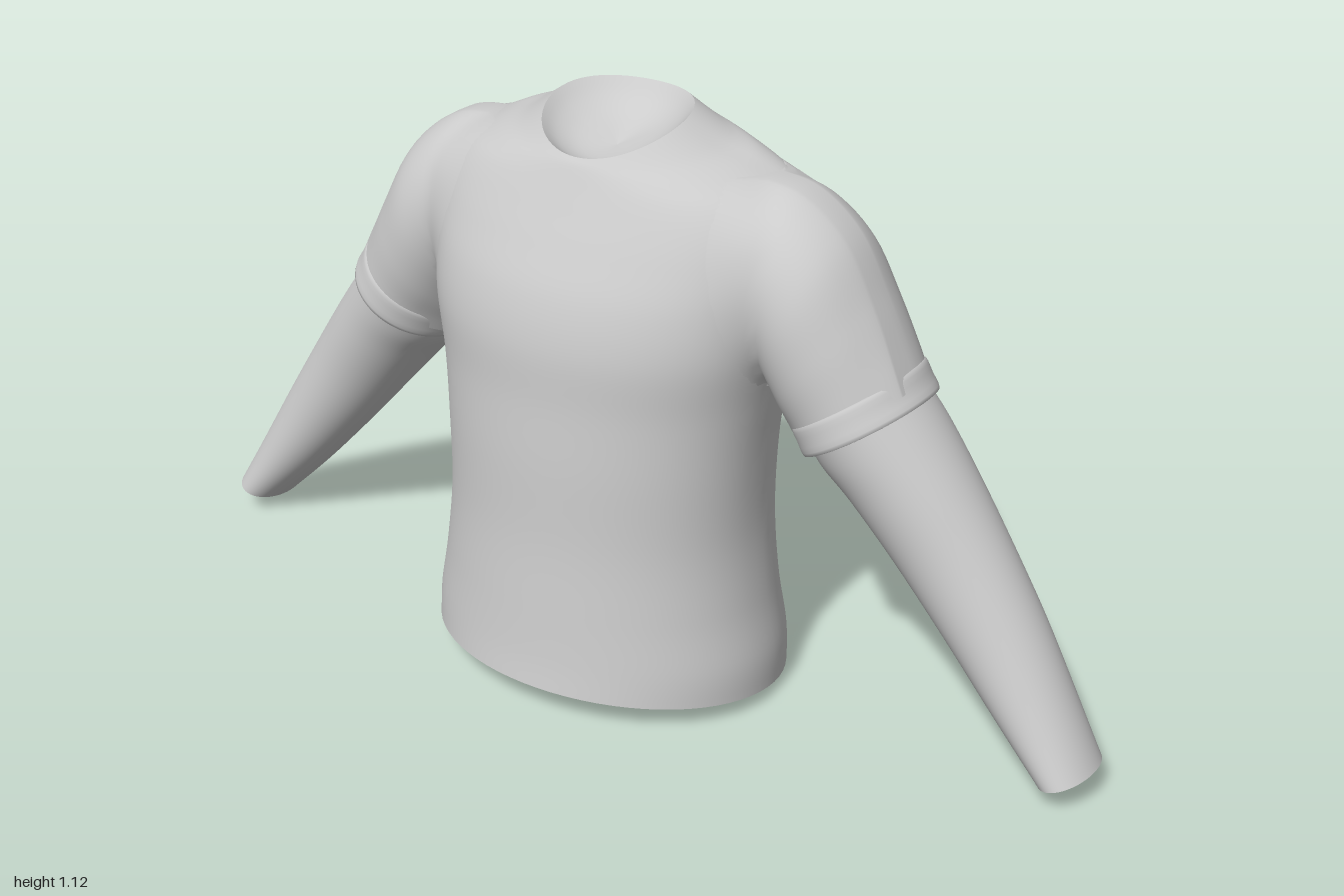
import * as THREE from 'three';

const material = new THREE.MeshStandardMaterial({ color: 0xcccccc, side: THREE.DoubleSide });

// Smooth interpolation through key cross-sections (every column of a row).
function sampleRows(rows, u) {
  const n = rows.length - 1;
  const i = Math.min(Math.floor(u * n), n - 1), f = u * n - i;
  const at = (k) => rows[Math.max(0, Math.min(n, k))];
  return rows[i].map((b, c) => {
    const a = at(i - 1)[c], d = at(i + 1)[c], e = at(i + 2)[c];
    return b + 0.5 * f * (d - a + f * (2 * a - 5 * b + 4 * d - e + f * (3 * (b - d) + e - a)));
  });
}

// Lofts closed rings; place(row, cos, sin) gives the point on a ring.
function loft(name, rows, place, flip, steps = 6, sides = 72) {
  const pos = [], idx = [], count = (rows.length - 1) * steps;
  for (let j = 0; j <= count; j++) {
    const row = sampleRows(rows, j / count);
    for (let i = 0; i < sides; i++) {
      const t = (i / sides) * Math.PI * 2;
      pos.push(...place(row, Math.cos(t), Math.sin(t)));
      if (j === count) continue;
      const a = j * sides + i, b = j * sides + (i + 1) % sides;
      const c = a + sides, d = b + sides;
      if (flip) idx.push(a, b, c, b, d, c);
      else idx.push(a, c, b, b, c, d);
    }
  }
  const geo = new THREE.BufferGeometry();
  geo.setAttribute('position', new THREE.Float32BufferAttribute(pos, 3));
  geo.setIndex(idx);
  geo.computeVertexNormals();
  const mesh = new THREE.Mesh(geo, material);
  mesh.name = name;
  return mesh;
}

// Dished lining that closes an opening; inward is the sink vector at its middle.
function lining(name, rim, place, inward, flip) {
  const mid = [0, 1, 2].map((k) => (place(rim, 0, 1)[k] + place(rim, 0, -1)[k]) / 2);
  const rows = [[1, 0], [0.8, 0.45], [0.5, 0.8], [0.001, 1]];
  const dish = ([scale, sink], c, s) => place(rim, c, s)
    .map((v, k) => mid[k] + (v - mid[k]) * scale + inward[k] * sink);
  return loft(name, rows, dish, flip, 4);
}

// Torso rings: yFront, ySide, yBack, half width, zFront, zSide, zBack, squareness
const torsoRows = [
  [0.06, 0.03, 0.003, 0.36, 0.292, 0, -0.29, 1],
  [0.12, 0.1, 0.08, 0.357, 0.283, 0, -0.287, 0.98],
  [0.22, 0.21, 0.2, 0.337, 0.273, 0, -0.267, 0.95],
  [0.35, 0.35, 0.35, 0.322, 0.262, 0, -0.26, 0.92],
  [0.5, 0.5, 0.5, 0.325, 0.257, 0, -0.26, 0.9],
  [0.62, 0.62, 0.62, 0.337, 0.25, -0.01, -0.262, 0.87],
  [0.73, 0.73, 0.73, 0.355, 0.246, -0.02, -0.265, 0.82],
  [0.82, 0.82, 0.82, 0.367, 0.226, -0.04, -0.26, 0.8],
  [0.9, 0.9, 0.9, 0.375, 0.19, -0.055, -0.243, 0.8],
  [0.96, 0.96, 0.975, 0.37, 0.16, -0.065, -0.215, 0.82],
  [1.0, 1.008, 1.035, 0.335, 0.14, -0.068, -0.187, 0.85],
  [1.025, 1.042, 1.077, 0.27, 0.128, -0.06, -0.166, 0.9],
  [1.04, 1.067, 1.1, 0.205, 0.12, -0.045, -0.152, 0.95],
  [1.05, 1.107, 1.12, 0.14, 0.112, -0.02, -0.142, 1],
];

function torsoPoint([yF, yS, yB, w, zF, zS, zB, p], c, s) {
  const z = zS + Math.sign(s) * Math.abs(s) ** p * (s > 0 ? zF - zS : zS - zB);
  const y = yS + s * (yF - yB) / 2 + s * s * ((yF + yB) / 2 - yS);
  return [w * c, y, z];
}

// Torso depth at a given x, y on the front (dir 1) or back (dir -1).
function torsoDepth(x, y, dir) {
  let lo = 0, hi = 1, point;
  for (let k = 0; k < 24; k++) {
    const u = (lo + hi) / 2, row = sampleRows(torsoRows, u);
    const c = Math.min(1, x / row[3]);
    point = torsoPoint(row, c, dir * Math.sqrt(1 - c * c));
    if (point[1] < y) lo = u;
    else hi = u;
  }
  return point[2];
}

// Sleeve rings: outer x, outer y, inner x, inner y, zFront, zBack
const upperRows = [
  [0.19, 1.04, 0.22, 0.74, 0.04, -0.16],
  [0.29, 1.032, 0.285, 0.71, 0.075, -0.195],
  [0.38, 1.016, 0.327, 0.683, 0.09, -0.21],
  [0.467, 0.952, 0.349, 0.65, 0.097, -0.213],
  [0.53, 0.848, 0.367, 0.617, 0.092, -0.211],
  [0.577, 0.757, 0.385, 0.59, 0.083, -0.207],
  [0.602, 0.705, 0.4, 0.567, 0.078, -0.203],
];
const bandRows = [
  [0.583, 0.727, 0.394, 0.598, 0.074, -0.198],
  [0.592, 0.732, 0.385, 0.59, 0.083, -0.208],
  [0.607, 0.706, 0.397, 0.567, 0.084, -0.21],
  [0.622, 0.682, 0.411, 0.544, 0.083, -0.209],
  [0.605, 0.676, 0.426, 0.556, 0.068, -0.194],
];
const lowerRows = [
  [0.59, 0.7, 0.41, 0.575, 0.065, -0.192],
  [0.642, 0.637, 0.435, 0.525, 0.055, -0.198],
  [0.708, 0.547, 0.487, 0.472, 0.04, -0.19],
  [0.788, 0.428, 0.58, 0.37, 0.024, -0.178],
  [0.868, 0.3, 0.687, 0.252, 0.018, -0.168],
  [0.942, 0.17, 0.802, 0.13, 0.02, -0.154],
  [1.0, 0.065, 0.905, 0.03, 0.025, -0.14],
];

const sleevePoint = (side) => ([ox, oy, ix, iy, zF, zB], c, s) => [
  side * ((ox + ix) / 2 + c * (ox - ix) / 2),
  (oy + iy) / 2 + c * (oy - iy) / 2,
  (zF + zB) / 2 + s * (zF - zB) / 2,
];

// Sleeve point eased onto the torso, so that the shoulder has no seam.
const shoulderPoint = (side) => (row, c, s) => {
  const [x, y, z] = sleevePoint(side)(row, c, s);
  if (Math.abs(s) < 1e-6) return [x, y, z];
  const dir = Math.sign(s), blend = 0.07;
  const a = dir * z, b = dir * torsoDepth(Math.abs(x), y, dir) - 0.002;
  const h = Math.max(blend - Math.abs(a - b), 0) / blend;
  return [x, y, dir * (Math.max(a, b) + h * h * blend / 4)];
};

export function createModel() {
  const group = new THREE.Group();
  group.name = 'layeredShirt';
  group.add(
    loft('torso', torsoRows, torsoPoint, false),
    lining('neckLining', torsoRows.at(-1), torsoPoint, [0, -0.05, 0], false),
    lining('hemLining', torsoRows[0], torsoPoint, [0, 0.06, 0], true),
  );

  // Each arm: short sleeve, its hem band and the long undersleeve
  for (const [label, side] of [['left', 1], ['right', -1]]) {
    const arm = new THREE.Group();
    arm.name = label + 'Arm';
    const place = sleevePoint(side), flip = side > 0;
    arm.add(
      loft(label + 'ShortSleeve', upperRows, shoulderPoint(side), flip),
      loft(label + 'SleeveBand', bandRows, place, flip, 3),
      loft(label + 'LongSleeve', lowerRows, place, flip),
      lining(label + 'CuffLining', lowerRows.at(-1), place, [-0.008 * side, 0.015, 0], flip),
    );
    group.add(arm);
  }
  return group;
}
